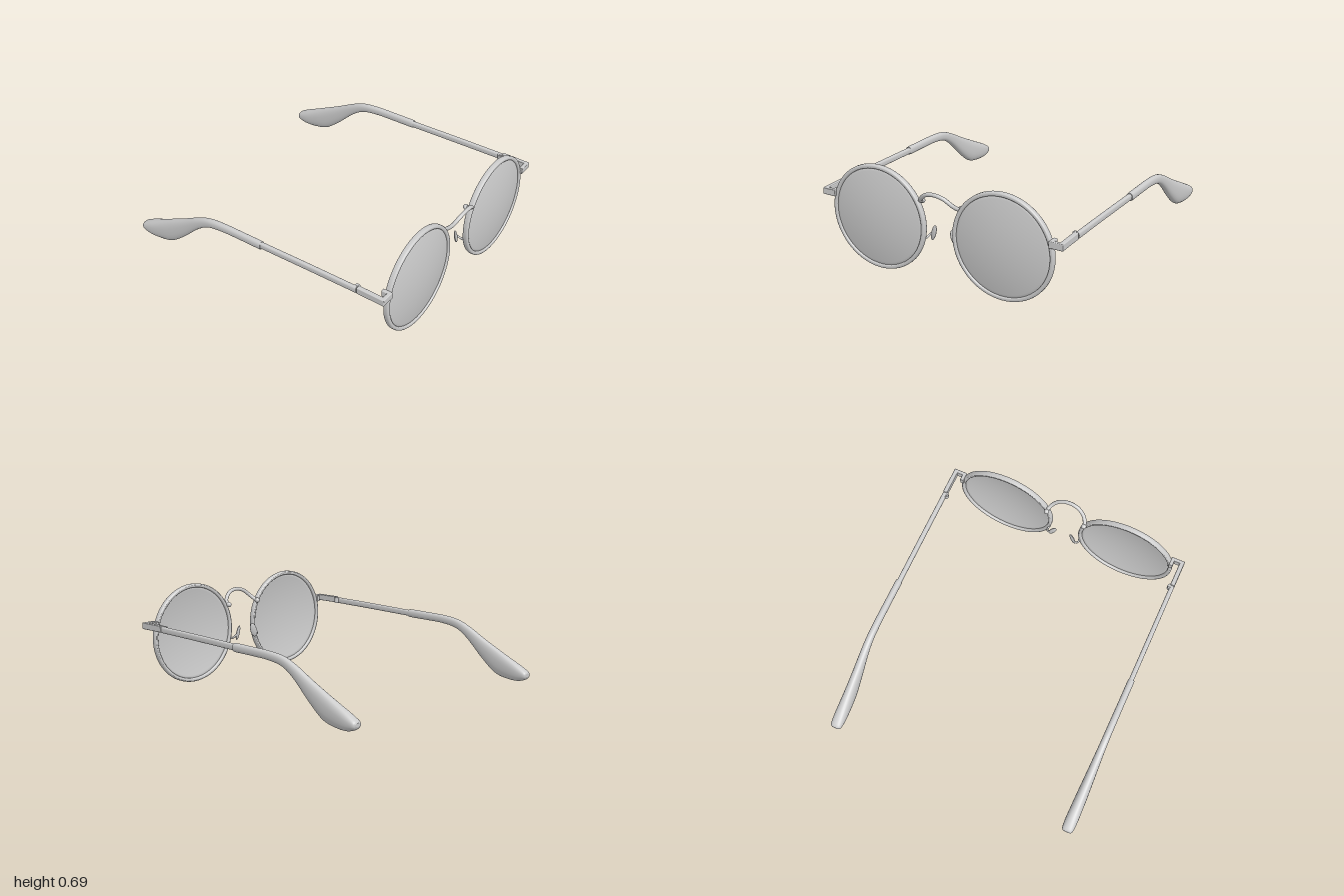
import * as THREE from 'three';
import { RoundedBoxGeometry } from 'three/addons/geometries/RoundedBoxGeometry.js';

const material = new THREE.MeshStandardMaterial({ color: 0xcccccc, side: THREE.DoubleSide });
const V = (x, y, z) => new THREE.Vector3(x, y, z);

function add(parent, name, geometry, x = 0, y = 0, z = 0) {
  const mesh = new THREE.Mesh(geometry, material);
  mesh.name = name;
  mesh.position.set(x, y, z);
  parent.add(mesh);
  return mesh;
}

// Box given by its limits on each axis
function block(parent, name, [x0, x1], [y0, y1], [z0, z1], r = 0.005) {
  const g = new RoundedBoxGeometry(Math.abs(x1 - x0), y1 - y0, z1 - z0, 3, r);
  return add(parent, name, g, (x0 + x1) / 2, (y0 + y1) / 2, (z0 + z1) / 2);
}

// Ring of revolution facing +z
function turned(points, segments = 96) {
  const profile = points.map(([r, z]) => new THREE.Vector2(r, z));
  return new THREE.LatheGeometry(profile, segments).rotateX(Math.PI / 2);
}

const wire = (points, radius) =>
  new THREE.TubeGeometry(new THREE.CatmullRomCurve3(points), 48, radius, 12);

// Smooth body through stations [z, top, bottom, half width], running towards -z
function loft(stations, steps, power, sides = 28) {
  const heights = new THREE.CatmullRomCurve3(stations.map(([z, t, b]) => V(z, t, b)), false, 'catmullrom');
  const widths = new THREE.CatmullRomCurve3(stations.map((s) => V(s[3], 0, 0)), false, 'catmullrom');
  const pos = [], index = [];
  const ring = (t) => {
    const { x: z, y: top, z: bottom } = heights.getPoint(t);
    const w = widths.getPoint(t).x;
    for (let j = 0; j < sides; j++) {
      const a = (j / sides) * Math.PI * 2, c = Math.cos(a), s = Math.sin(a);
      const round = (v) => Math.sign(v) * Math.abs(v) ** power;
      pos.push(w * round(c), (top + bottom) / 2 + ((top - bottom) / 2) * round(s), z);
    }
    return [0, (top + bottom) / 2, z];
  };
  for (let i = 0; i <= steps; i++) ring(i / steps);
  for (let i = 0; i < steps; i++) {
    for (let j = 0; j < sides; j++) {
      const a = i * sides + j, b = i * sides + ((j + 1) % sides);
      index.push(a, a + sides, b, b, a + sides, b + sides);
    }
  }
  // Flat caps with their own corners
  for (const end of [0, 1]) {
    const start = pos.length / 3;
    pos.push(...ring(end));
    for (let j = 0; j < sides; j++) {
      const a = start + j, b = start + ((j + 1) % sides);
      index.push(start + sides, ...(end ? [b, a] : [a, b]));
    }
  }
  const g = new THREE.BufferGeometry();
  g.setAttribute('position', new THREE.Float32BufferAttribute(pos, 3));
  g.setIndex(index);
  g.computeVertexNormals();
  return g;
}

function rimGeometry() {
  return turned([
    [0.338, -0.019], [0.344, -0.016], [0.347, -0.009], [0.347, 0.009], [0.344, 0.016], [0.338, 0.019],
    [0.328, 0.019], [0.323, 0.016], [0.321, 0.01], [0.321, -0.01], [0.323, -0.016], [0.328, -0.019], [0.338, -0.019],
  ]);
}

// Thin domed lens, bulging forwards
function lensGeometry() {
  const R = 0.325, n = 16, points = [];
  const dome = (r, base) => base + 0.035 * (1 - (r / R) ** 2);
  for (let i = 0; i <= n; i++) points.push([(R * i) / n, dome((R * i) / n, -0.003)]);
  for (let i = n; i >= 0; i--) points.push([(R * i) / n, dome((R * i) / n, 0.007)]);
  return turned(points);
}

function buildSide(s) {
  const side = new THREE.Group();
  side.name = s > 0 ? 'leftSide' : 'rightSide';

  add(side, 'rim', rimGeometry(), s * 0.447, 0.347, 0);
  add(side, 'lens', lensGeometry(), s * 0.447, 0.347, 0);

  // Nose pad on its bent wire
  const pad = add(side, 'nosePad', new THREE.SphereGeometry(1, 24, 16), s * 0.076, 0.302, -0.05);
  pad.scale.set(0.024, 0.053, 0.011);
  pad.rotation.set(0, s * 0.5, -s * -0.3, 'ZYX');
  pad.rotation.z = s * 0.3;
  add(side, 'nosePadWire', wire([
    V(s * 0.113, 0.27, -0.005), V(s * 0.118, 0.268, -0.035), V(s * 0.105, 0.285, -0.057), V(s * 0.08, 0.302, -0.053),
  ], 0.007));

  // End piece joining the rim to the temple
  block(side, 'endPieceLug', [s * 0.768, s * 0.795], [0.427, 0.471], [-0.032, 0.033]);
  block(side, 'endPieceBar', [s * 0.775, s * 0.863], [0.427, 0.471], [0.007, 0.033]);
  block(side, 'endPieceArm', [s * 0.832, s * 0.863], [0.427, 0.471], [-0.163, 0.033]);

  // Hinge barrel with its screw
  add(side, 'hinge', new THREE.CylinderGeometry(0.019, 0.019, 0.034, 20), s * 0.836, 0.447, -0.173);
  add(side, 'hingeScrew', new THREE.CylinderGeometry(0.009, 0.009, 0.044, 16), s * 0.834, 0.447, -0.173);

  // Temple arm and its ear tip
  add(side, 'temple', loft([
    [-0.167, 0.466, 0.424, 0.015], [-0.5, 0.46, 0.418, 0.0155], [-0.92, 0.449, 0.408, 0.016],
  ], 12, 0.65), s * 0.848);
  add(side, 'earTip', loft([
    [-0.89, 0.453, 0.405, 0.02], [-0.9, 0.457, 0.401, 0.022], [-1.05, 0.455, 0.399, 0.022],
    [-1.2, 0.451, 0.394, 0.023], [-1.32, 0.436, 0.372, 0.024], [-1.42, 0.398, 0.31, 0.027],
    [-1.55, 0.33, 0.189, 0.033], [-1.66, 0.276, 0.106, 0.038], [-1.76, 0.228, 0.081, 0.041],
    [-1.84, 0.19, 0.078, 0.042], [-1.89, 0.163, 0.09, 0.039], [-1.91, 0.15, 0.102, 0.033], [-1.918, 0.14, 0.115, 0.02],
  ], 72, 0.85), s * 0.85);
  return side;
}

export function createModel() {
  const model = new THREE.Group();
  model.name = 'roundGlasses';
  const glasses = new THREE.Group();
  glasses.name = 'glasses';
  glasses.position.set(-0.032, 0, 0.935);
  glasses.rotation.y = -0.018;
  model.add(glasses);

  for (const s of [1, -1]) glasses.add(buildSide(s));

  // Arched bridge, bowed forwards and hooked behind the rims
  const half = [[0.14, 0.51, -0.033], [0.136, 0.517, -0.008], [0.115, 0.545, 0.024], [0.065, 0.587, 0.045]];
  add(glasses, 'bridge', wire([
    ...half.map(([x, y, z]) => V(-x, y, z)), V(0, 0.602, 0.051), ...half.reverse().map(([x, y, z]) => V(x, y, z)),
  ], 0.013));
  for (const s of [1, -1]) add(glasses, 'bridgeEnd', new THREE.SphereGeometry(0.018, 16, 12), s * 0.138, 0.512, -0.028);
  return model;
}
